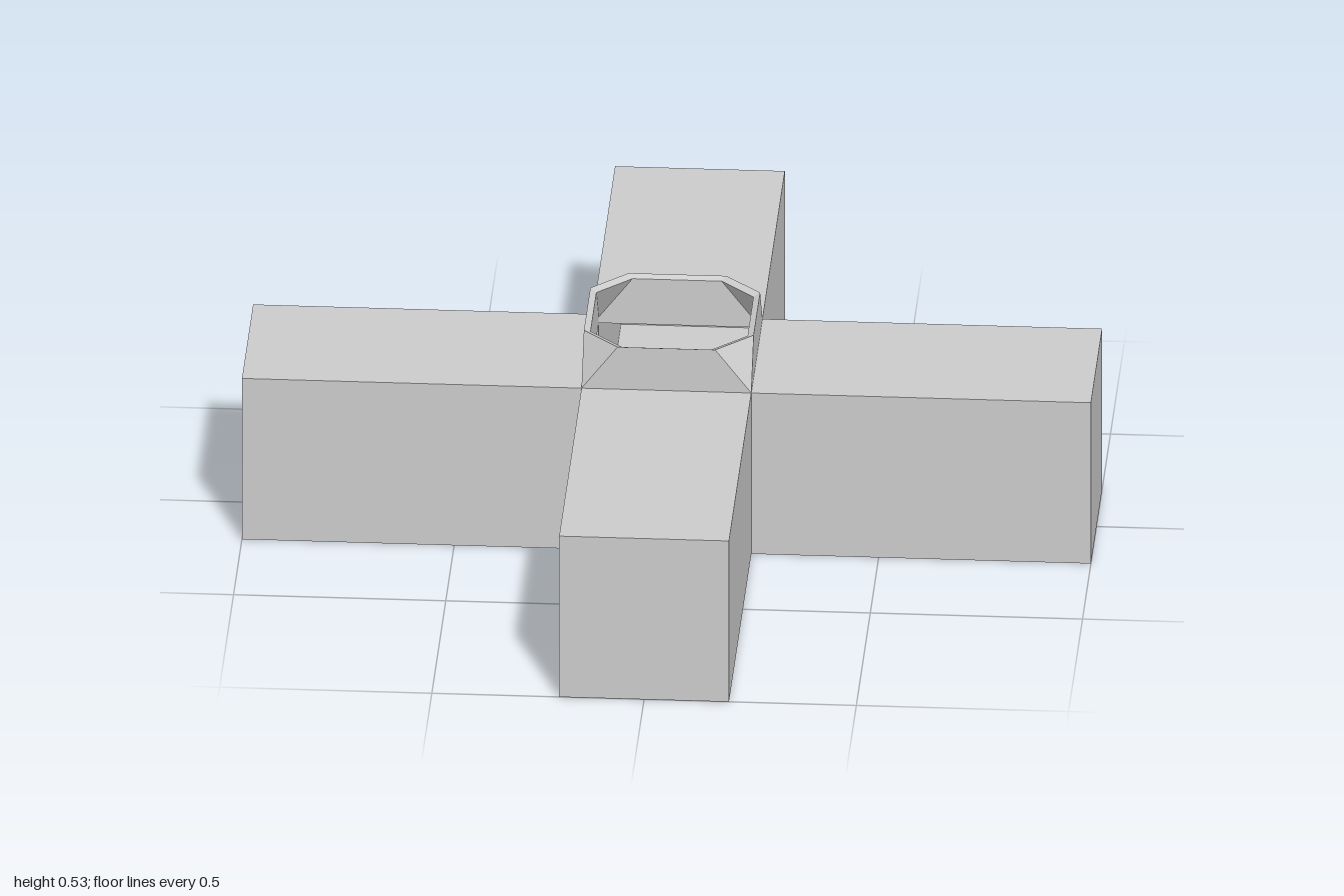
import * as THREE from 'three';

const REACH = 1, HALF = 0.2, WALL = 0.015, BODY_TOP = 0.42, RIM_TOP = 0.53;

// Plus-shaped outline, as plan points
function plusPoints(reach, half) {
  const pts = [];
  for (let k = 0; k < 4; k++) {
    for (const [x, y] of [[half, -half], [reach, -half], [reach, half]]) {
      const p = new THREE.Vector2(x, y);
      for (let r = 0; r < k; r++) p.set(-p.y, p.x);
      pts.push(p);
    }
  }
  return pts;
}

// Horizontal slab of the plus outline, with an optional hole
function slab(y0, y1, hole) {
  const shape = new THREE.Shape(plusPoints(REACH, HALF));
  if (hole) shape.holes.push(new THREE.Path(hole));
  const geo = new THREE.ExtrudeGeometry(shape, { depth: y1 - y0, bevelEnabled: false });
  return geo.rotateX(-Math.PI / 2).translate(0, y0, 0);
}

// Square ring with cut corners (cut 0 gives a plain square)
function ring(half, cut, y) {
  const pts = [];
  for (let k = 0; k < 4; k++) {
    for (const z of [-(half - cut), half - cut]) {
      let p = [half, z];
      for (let r = 0; r < k; r++) p = [-p[1], p[0]];
      pts.push(new THREE.Vector3(p[0], y, p[1]));
    }
  }
  return pts;
}

// Joins successive rings with faces, leaving out empty triangles
function loft(rings) {
  const pos = [];
  const tri = (a, b, c) => {
    if (a.equals(b) || b.equals(c) || c.equals(a)) return;
    for (const v of [a, b, c]) pos.push(v.x, v.y, v.z);
  };
  for (let r = 0; r < rings.length - 1; r++) {
    const a = rings[r], b = rings[r + 1];
    for (let i = 0; i < 8; i++) {
      const j = (i + 1) % 8;
      tri(a[i], b[i], b[j]);
      tri(a[i], b[j], a[j]);
    }
  }
  const geo = new THREE.BufferGeometry();
  geo.setAttribute('position', new THREE.Float32BufferAttribute(pos, 3));
  geo.computeVertexNormals();
  return geo;
}

export function createModel() {
  const group = new THREE.Group();
  const material = new THREE.MeshStandardMaterial({ color: 0xcccccc, flatShading: true });
  const add = (name, geo) => {
    const mesh = new THREE.Mesh(geo, material);
    mesh.name = name;
    group.add(mesh);
  };

  // Hollow four-armed body: floor, walls and a roof open in the middle
  const inner = HALF - WALL;
  const opening = [[-1, -1], [1, -1], [1, 1], [-1, 1]]
    .map(([x, y]) => new THREE.Vector2(x * inner, y * inner));
  add('floor', slab(0, WALL));
  add('walls', slab(WALL, BODY_TOP - WALL, plusPoints(REACH - WALL, inner)));
  add('roof', slab(BODY_TOP - WALL, BODY_TOP, opening));

  // Collar: square base rising to an eight-sided rim, then down the inside
  add('collar', loft([
    ring(HALF, 0, BODY_TOP),
    ring(HALF, 0.085, RIM_TOP),
    ring(inner, 0.08, RIM_TOP - 0.007),
    ring(inner, 0, BODY_TOP),
  ]));

  return group;
}
